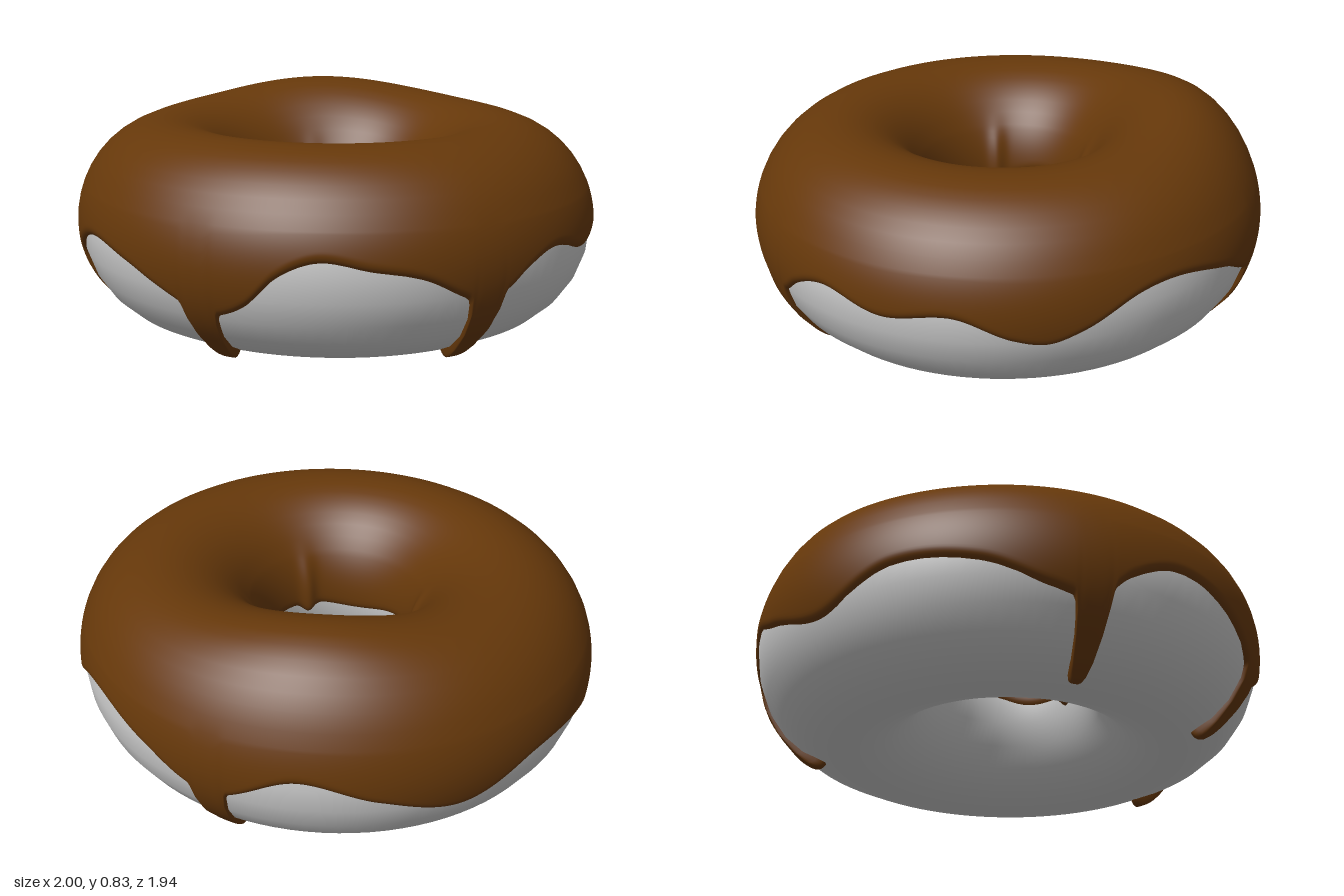
import * as THREE from 'three';
import { mergeVertices } from 'three/addons/utils/BufferGeometryUtils.js';

// Ring proportions: ring radius, tube half width, tube half height, centre height
const R = 0.643, A = 0.342, B = 0.37, CY = 0.387, Z_SCALE = 0.97;
const { degToRad, lerp, smoothstep } = THREE.MathUtils;

// Height of the wavy outer icing edge: [degrees from the front towards +x, y]
const EDGE = [
  [-5, 0.21], [0, 0.22], [6, 0.27], [12, 0.37], [20, 0.43], [31, 0.4], [42, 0.36],
  [50, 0.29], [55, 0.25], [61, 0.29], [66, 0.35], [75, 0.4], [90, 0.35], [106, 0.38],
  [118, 0.3], [125, 0.28], [132, 0.32], [144, 0.42], [154, 0.44], [170, 0.38], [186, 0.28],
  [205, 0.41], [222, 0.33], [240, 0.25], [259, 0.35], [278, 0.33], [292, 0.25],
  [302, 0.23], [309, 0.32], [320, 0.39], [336, 0.35], [345, 0.29], [355, 0.21],
];
const edgeCurve = new THREE.CubicInterpolant(EDGE.map((p) => p[0]), EDGE.map((p) => p[1]), 1);
const DRIPS = [-5, 56, 186, 301];   // long runs down the outside
const NUBS = [56, 139, 218, 304];   // short runs inside the hole

const angleGap = (a, b) => Math.abs(((a - b + 540) % 360 + 360) % 360 - 180);
const bell = (deg, centre, width, power = 2) => Math.exp(-((angleGap(deg, centre) / width) ** power));
const strongest = (deg, centres, width, power) => Math.max(...centres.map((c) => bell(deg, c, width, power)));

// Point on the ring: angle round the ring, angle round the tube, lift off the dough
function ringPoint(deg, theta, lift) {
  const phi = degToRad(deg), c = Math.cos(theta), s = Math.sin(theta);
  const swell = 0.07 * bell(deg, 209, 39) * Math.max(0, s) ** 2;   // raised back of the top
  const holeShift = 0.014 * smoothstep(-c, 0, 1);                  // hole sits slightly forward
  const r = R + (A + lift) * c;
  return [r * Math.sin(phi), CY + (B + lift) * s + swell, r * Math.cos(phi) * Z_SCALE + holeShift];
}

// Smooth surface from a grid, with place(deg, v) giving each point
function ringGeometry(around, rows, place) {
  const geo = new THREE.PlaneGeometry(1, 1, around, rows);
  const { position, uv } = geo.attributes;
  for (let i = 0; i < position.count; i++) {
    position.setXYZ(i, ...place((uv.getX(i) % 1) * 360, uv.getY(i)));
  }
  geo.deleteAttribute('uv');
  geo.deleteAttribute('normal');
  const welded = mergeVertices(geo, 1e-5);
  welded.computeVertexNormals();
  return welded;
}

// Angle around the tube where the icing starts on the outside
function outerEdge(deg, drip) {
  const y = edgeCurve.evaluate(deg > 355 ? deg - 360 : deg)[0];
  return lerp(Math.asin((y - CY) / B), degToRad(-76), drip);
}

// Angle around the tube where it ends inside the hole
function innerEdge(deg, nub) {
  return Math.PI + 0.02 + 0.1 * Math.cos(degToRad(deg - 20)) + 0.03 * Math.sin(degToRad(deg * 5)) + 0.1 * nub;
}

// Rows follow both rims, while those on top stay at fixed angles
function rowAngle(v, start, end) {
  if (v < 0.4) return lerp(start, 0.4, 1 - Math.cos(v / 0.4 * Math.PI / 2));
  if (v < 0.7) return lerp(0.4, 2.6, (v - 0.4) / 0.3);
  return lerp(2.6, end, Math.sin((v - 0.7) / 0.3 * Math.PI / 2));
}

function icingPoint(deg, v) {
  const drip = strongest(deg, DRIPS, 3.2, 5), nub = strongest(deg, NUBS, 6, 2);
  const start = outerEdge(deg, drip), end = innerEdge(deg, nub);
  const theta = rowAngle(v, start, end);
  const c = Math.cos(theta), s = Math.sin(theta);

  // Thin layer, swollen at drip tips and nubs, with both rims rounded into the dough
  const rim = Math.min(1, Math.max(0, Math.min(theta - start, end - theta)) / 0.1);
  const thick = 0.011 + 0.004 * c + 0.018 * drip * smoothstep(-s, 0.7, 0.95)
    + 0.015 * nub * smoothstep(-c, 0.8, 1);
  return ringPoint(deg, theta, lerp(-0.015, thick, Math.sqrt(1 - (1 - rim) ** 2)));
}

export function createModel() {
  const group = new THREE.Group();
  group.name = 'icedRing';

  // Dough ring
  const dough = new THREE.Mesh(
    ringGeometry(96, 24, (deg, v) => ringPoint(deg, (v % 1) * Math.PI * 2, 0)),
    new THREE.MeshStandardMaterial({ color: 0xcccccc }),
  );
  dough.name = 'dough';

  // Icing with drips
  const icing = new THREE.Mesh(
    ringGeometry(720, 50, icingPoint),
    new THREE.MeshStandardMaterial({ color: 0x66380a, side: THREE.DoubleSide }),
  );
  icing.name = 'icing';

  group.add(dough, icing);
  return group;
}
